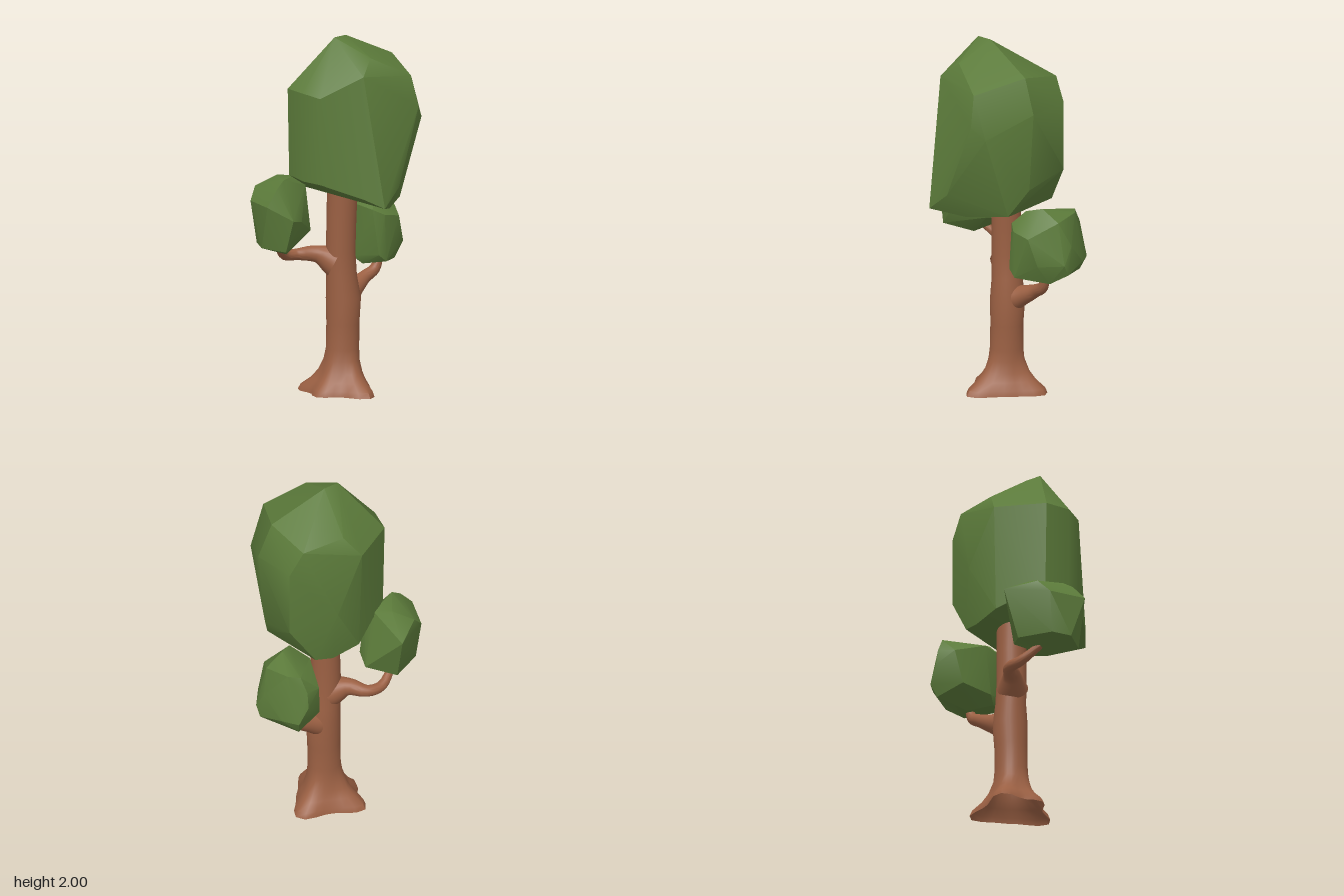
import * as THREE from 'three';
import { ConvexGeometry } from 'three/addons/geometries/ConvexGeometry.js';
import { toCreasedNormals } from 'three/addons/utils/BufferGeometryUtils.js';

const SIDES = 28;
const vec = (p) => new THREE.Vector3(p[0], p[1], p[2]);

// Open limb through rings [x, y, z, radius]; flare(angle, ring) adds to the radius
function limbGeometry(rings, flare = () => 0) {
  const pos = [], index = [], centres = rings.map(vec), last = rings.length - 1;
  rings.forEach((ring, i) => {
    const dir = centres[Math.min(i + 1, last)].clone().sub(centres[Math.max(i - 1, 0)]).normalize();
    const v = new THREE.Vector3(0, 0, 1).addScaledVector(dir, -dir.z).normalize();
    const u = dir.clone().cross(v);
    for (let j = 0; j < SIDES; j++) {
      const a = (j / SIDES) * Math.PI * 2, r = ring[3] + flare(a, i);
      const p = centres[i].clone().addScaledVector(u, r * Math.cos(a)).addScaledVector(v, r * Math.sin(a));
      pos.push(p.x, p.y, p.z);
    }
  });
  for (let j = 0; j < SIDES; j++) {
    const k = (j + 1) % SIDES;
    for (let i = 0; i < last; i++) {
      const a = i * SIDES + j, b = i * SIDES + k, c = a + SIDES, d = b + SIDES;
      index.push(a, c, b, b, c, d);
    }
  }
  const g = new THREE.BufferGeometry();
  g.setAttribute('position', new THREE.Float32BufferAttribute(pos, 3));
  g.setIndex(index);
  return toCreasedNormals(g, 0.9);
}

// Curved branch tapering through the given radii
function branchGeometry(points, radii) {
  const curve = new THREE.CatmullRomCurve3(points.map(vec));
  const rings = [], n = 16;
  for (let i = 0; i <= n; i++) {
    const t = (i / n) * (radii.length - 1), k = Math.min(Math.floor(t), radii.length - 2);
    rings.push([...curve.getPoint(i / n).toArray(), THREE.MathUtils.lerp(radii[k], radii[k + 1], t - k)]);
  }
  return limbGeometry(rings);
}

// Faceted clump of leaves: hull around a few corner points
const foliageGeometry = (points) => toCreasedNormals(new ConvexGeometry(points.map(vec)), 0.55);

export function createModel() {
  const group = new THREE.Group();
  const bark = new THREE.MeshStandardMaterial({ color: 0x9b6043, side: THREE.DoubleSide });
  const leaf = new THREE.MeshStandardMaterial({ color: 0x5b7a3a });
  const add = (name, geometry, material) => {
    const mesh = new THREE.Mesh(geometry, material);
    mesh.name = name;
    group.add(mesh);
  };

  // Trunk, open below, with four spreading roots: [angle, reach]
  const roots = [[1.57, 0.26], [2.91, 0.215], [4.03, 0.25], [5.76, 0.245]];
  const spread = [1, 0.9, 0.55, 0.29, 0.08, 0.01];
  const rootFlare = (a, i) => {
    let reach = 0.065;
    for (const [angle, length] of roots) {
      const d = Math.atan2(Math.sin(a - angle), Math.cos(a - angle));
      reach += (length - 0.155) * Math.exp(-((d / 0.42) ** 2));
    }
    return reach * (spread[i] || 0);
  };
  add('trunk', limbGeometry([
    [0.055, 0, -0.07, 0.09], [0.055, 0.03, -0.07, 0.09], [0.055, 0.07, -0.07, 0.09],
    [0.055, 0.115, -0.07, 0.09], [0.055, 0.18, -0.07, 0.09], [0.058, 0.24, -0.07, 0.09],
    [0.06, 0.38, -0.07, 0.09], [0.065, 0.52, -0.072, 0.096], [0.055, 0.64, -0.075, 0.084],
    [0.048, 0.78, -0.075, 0.081], [0.052, 0.95, -0.072, 0.081], [0.055, 1.2, -0.065, 0.085],
  ], rootFlare), bark);

  // Branches
  add('rightBranch', branchGeometry(
    [[0.02, 0.72, -0.09], [-0.05, 0.762, -0.15], [-0.13, 0.758, -0.225], [-0.22, 0.765, -0.22], [-0.31, 0.84, -0.16]],
    [0.085, 0.048, 0.032, 0.028, 0.02]), bark);
  add('leftBranch', branchGeometry(
    [[0.08, 0.52, -0.08], [0.17, 0.56, -0.11], [0.25, 0.6, -0.13], [0.32, 0.64, -0.13], [0.355, 0.73, -0.13]],
    [0.08, 0.052, 0.036, 0.03, 0.02]), bark);

  // Main crown
  add('crown', foliageGeometry([
    [-0.07, 2, 0.03], [0.02, 2, 0.01], [0.2, 1.91, 0], [0.34, 1.86, 0], [-0.06, 1.82, 0.285],
    [0.03, 1.905, 0.225], [0.26, 1.79, 0.285], [0.42, 1.67, 0], [0.265, 1.81, -0.255],
    [0.02, 1.83, -0.24], [-0.07, 1.72, -0.29], [0.095, 1.4, -0.335], [-0.3, 1.72, 0.05],
    [-0.29, 1.72, -0.1], [-0.255, 1.7, 0.15], [-0.295, 1.23, 0.05], [-0.25, 1.22, 0.15],
    [-0.28, 1.24, -0.1], [0, 1.1, 0.4], [-0.09, 1.15, 0.33], [0.12, 1.2, 0.365],
    [0.285, 1.62, 0.32], [0.345, 1.55, 0.265], [0.38, 1.23, 0], [0.32, 1.08, 0.1],
    [0.2, 1.09, -0.27], [0.14, 1.06, 0.25], [0.1, 1.08, -0.28], [-0.06, 1.12, -0.27],
    [0.345, 1.68, -0.25], [0.345, 1.3, -0.25],
  ]), leaf);

  // Small clumps at the branch ends
  add('rightFoliage', foliageGeometry([
    [-0.27, 1.13, -0.38], [-0.46, 1.1, -0.21], [-0.4, 1.17, -0.25], [-0.5, 1.1, 0],
    [-0.48, 0.86, -0.08], [-0.44, 0.87, -0.18], [-0.4, 0.845, 0.035], [-0.375, 1.02, 0.07],
    [-0.29, 1.0, 0.03], [-0.36, 1.23, -0.04], [-0.42, 1.19, -0.02], [-0.2, 1.22, -0.15],
    [-0.17, 1.17, -0.1], [-0.13, 0.9, -0.2], [-0.15, 0.92, -0.08], [-0.3, 0.8, -0.1],
    [-0.28, 0.86, -0.29], [-0.29, 1.225, -0.2],
  ]), leaf);
  add('leftFoliage', foliageGeometry([
    [0.18, 1.02, -0.15], [0.33, 1.09, -0.12], [0.26, 1.07, -0.06], [0.44, 1.03, -0.15],
    [0.38, 1.05, -0.3], [0.5, 0.8, -0.15], [0.49, 0.74, -0.18], [0.48, 0.9, -0.21],
    [0.43, 0.69, -0.1], [0.3, 0.665, -0.18], [0.2, 0.69, -0.08], [0.17, 0.73, -0.12],
    [0.3, 0.97, -0.385], [0.3, 0.88, -0.4], [0.32, 1.05, -0.34], [0.355, 0.78, -0.395],
    [0.425, 0.78, -0.32], [0.43, 0.8, -0.02], [0.21, 0.95, -0.34], [0.19, 0.76, -0.3],
    [0.34, 0.71, -0.36], [0.28, 0.71, 0.03], [0.27, 0.97, 0.03], [0.21, 1.0, 0],
    [0.38, 0.95, 0.01], [0.23, 0.75, 0.03],
  ]), leaf);

  return group;
}
